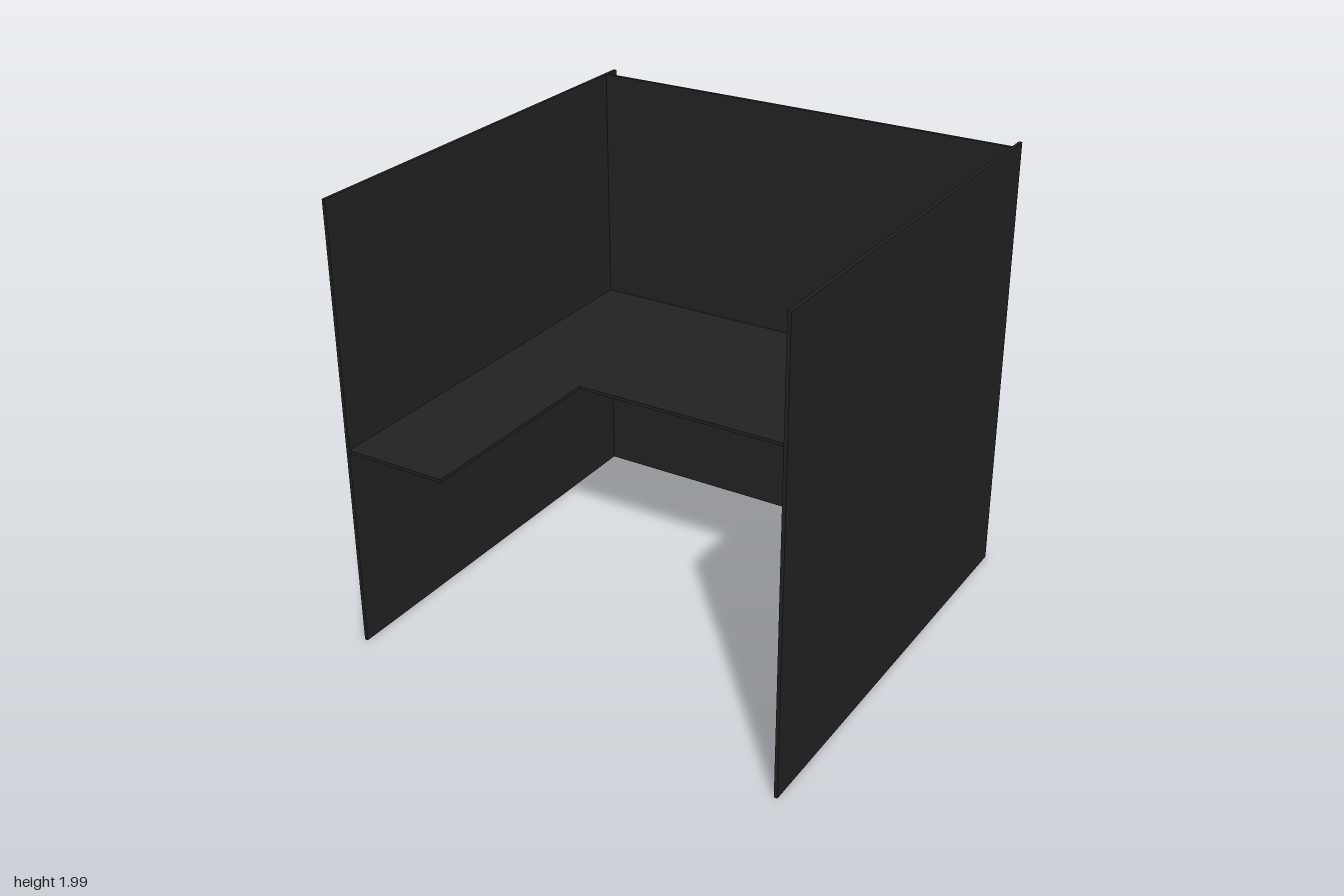
import * as THREE from 'three';

export function createModel() {
  const group = new THREE.Group();
  group.name = 'cubicleDesk';
  const charcoal = new THREE.MeshStandardMaterial({ color: 0x222222 });
  charcoal.name = 'charcoal';

  const H = 1.99, T = 0.015, D = 1.99;

  const add = (name, geometry, x, y, z) => {
    const mesh = new THREE.Mesh(geometry, charcoal);
    mesh.name = name;
    mesh.position.set(x, y, z);
    group.add(mesh);
  };

  // Side partitions
  for (const [name, s] of [['leftPanel', 1], ['rightPanel', -1]]) {
    add(name, new THREE.BoxGeometry(T, H, D), s * (1 - T / 2), H / 2, 0);
  }

  // Back partition, set slightly in from the rear edges of the sides
  const inner = 1 - T, backZ = -0.925;
  add('backPanel', new THREE.BoxGeometry(2 * inner, H, T), 0, H / 2, backZ + T / 2);

  // L-shaped worktop, drawn in plan (shape y = z) and laid flat
  const plan = new THREE.Shape([
    [-inner, backZ + T], [inner, backZ + T], [inner, 0.035],
    [-0.52, 0.035], [-0.52, D / 2], [-inner, D / 2],
  ].map(([x, z]) => new THREE.Vector2(x, z)));
  const top = new THREE.ExtrudeGeometry(plan, { depth: T, bevelEnabled: false });
  top.rotateX(Math.PI / 2);
  add('worktop', top, 0, 0.92, 0);

  return group;
}
